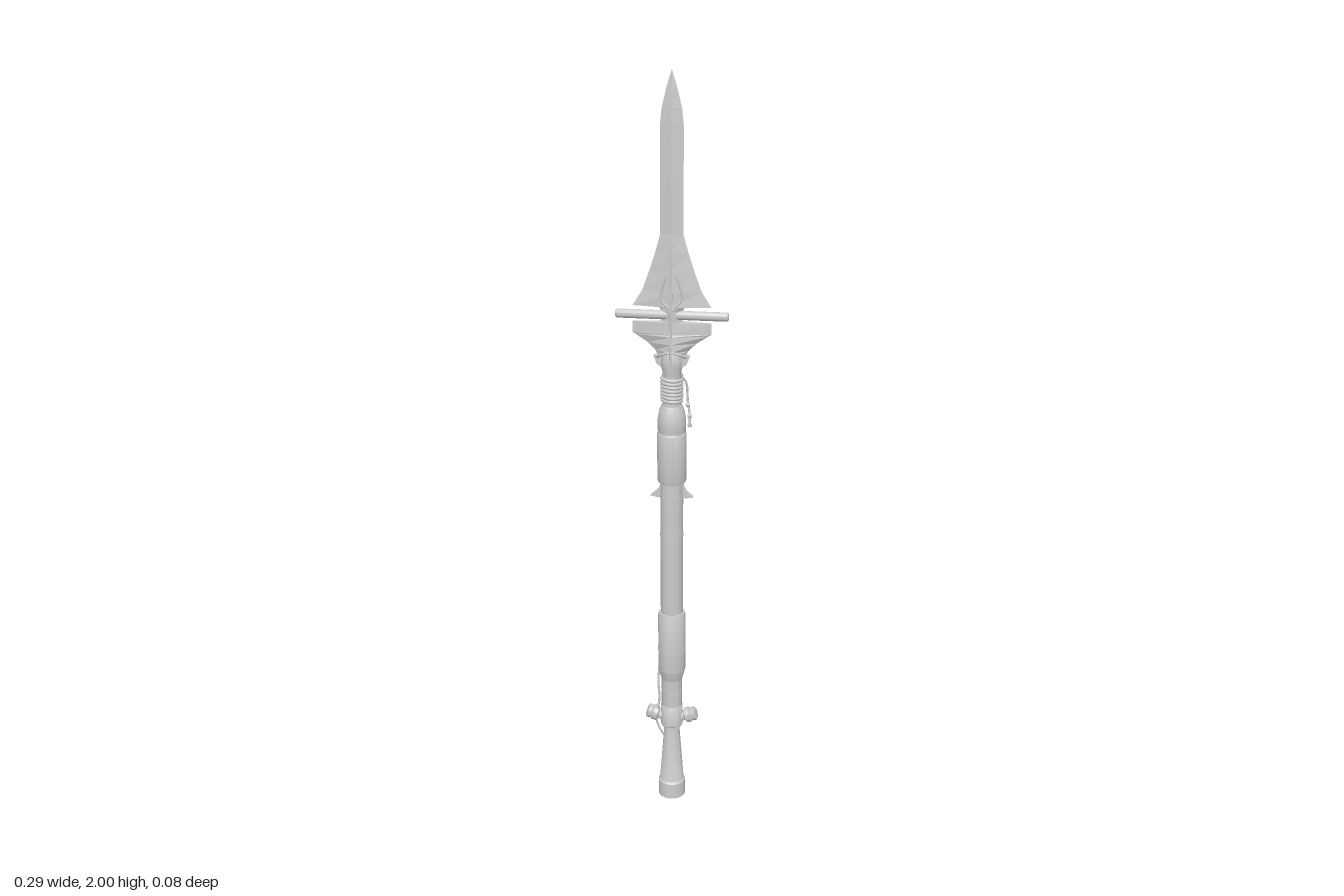
import * as THREE from 'three';
import { toCreasedNormals } from 'three/addons/utils/BufferGeometryUtils.js';

const grey = new THREE.MeshStandardMaterial({ color: 0xcccccc, side: THREE.DoubleSide });
const flat = new THREE.MeshStandardMaterial({ color: 0xcccccc, side: THREE.DoubleSide, flatShading: true });
const V = (p) => new THREE.Vector3(...p);

function add(parent, name, geometry, material = grey) {
  const mesh = new THREE.Mesh(geometry, material);
  mesh.name = name;
  parent.add(mesh);
  return mesh;
}

// Turned part from [radius, y] pairs, with sharp steps kept crisp
function turned(points, sides = 32) {
  const profile = points.map(([r, y]) => new THREE.Vector2(r, y));
  return toCreasedNormals(new THREE.LatheGeometry(profile, sides), 0.6);
}

function tube(points, radius, steps = 32) {
  return new THREE.TubeGeometry(new THREE.CatmullRomCurve3(points.map(V)), steps, radius, 8);
}

// Diamond cross-sections [y, half width, half thickness] from bottom to top
function diamondLoft(rows) {
  const pos = [], index = [];
  for (const [y, w, t] of rows) pos.push(w, y, 0, 0, y, t, -w, y, 0, 0, y, -t);
  for (let i = 0; i < rows.length - 1; i++) {
    for (let j = 0; j < 4; j++) {
      const a = i * 4 + j, b = i * 4 + (j + 1) % 4;
      index.push(a, a + 4, b, b, a + 4, b + 4);
    }
  }
  index.push(0, 1, 2, 0, 2, 3);
  const g = new THREE.BufferGeometry();
  g.setAttribute('position', new THREE.Float32BufferAttribute(pos, 3));
  g.setIndex(index);
  g.computeVertexNormals();
  return g;
}

export function createModel() {
  const model = new THREE.Group();
  model.name = 'spear';

  // Flared butt, grip shaft and sleeves
  add(model, 'buttCap', turned([[0, 0], [0.037, 0], [0.037, 0.045], [0.033, 0.05], [0.022, 0.2], [0.02, 0.225], [0, 0.225]]));
  add(model, 'shaft', turned([[0, 0.22], [0.028, 0.22], [0.028, 0.36], [0.03, 0.38], [0.03, 0.96], [0, 0.96]]));
  add(model, 'lowerSleeve', turned([[0.028, 0.365], [0.031, 0.375], [0.036, 0.395], [0.037, 0.4], [0.037, 0.56], [0.034, 0.57], [0.029, 0.57]]));
  add(model, 'upperSleeve', turned([[0.029, 0.95], [0.036, 0.95], [0.038, 0.956], [0.038, 1.083], [0.036, 1.086],
    [0.036, 1.092], [0.037, 1.096], [0.037, 1.12], [0.033, 1.145], [0.027, 1.16], [0, 1.16]]));
  add(model, 'neck', turned([[0.026, 1.15], [0.024, 1.17], [0.024, 1.25], [0.028, 1.265], [0.028, 1.285], [0.02, 1.31], [0, 1.32]]));

  // Thin bands on the shaft
  for (const [y, r] of [[0.33, 0.0285], [0.46, 0.0375], [0.8, 0.031], [0.91, 0.031]]) {
    add(model, 'shaftBand', turned([[r - 0.003, y - 0.005], [r, y - 0.005], [r, y + 0.005], [r - 0.003, y + 0.005]]));
  }

  // Cord wound around the neck
  const coil = [];
  for (let i = 0; i <= 96; i++) {
    const a = i / 96 * Math.PI * 14;
    coil.push([0.025 * Math.cos(a), 1.172 + 0.066 * i / 96, 0.025 * Math.sin(a)]);
  }
  add(model, 'neckCord', tube(coil, 0.005, 200));

  // Loose cords
  add(model, 'upperCord', tube([[0.024, 1.24, 0], [0.036, 1.22, -0.005], [0.04, 1.17, -0.01], [0.046, 1.13, -0.004], [0.046, 1.1, 0]], 0.003));
  for (const y of [1.16, 1.13, 1.105]) {
    add(model, 'cordBead', new THREE.SphereGeometry(0.006, 10, 8)).position.set(y > 1.15 ? 0.041 : 0.046, y, -0.004);
  }
  add(model, 'lowerCord', tube([[-0.034, 0.4, 0], [-0.037, 0.36, 0.003], [-0.034, 0.3, 0.006], [-0.042, 0.24, 0.008],
    [-0.03, 0.2, 0.004], [-0.018, 0.18, 0]], 0.003));

  // Lens-shaped spearhead with its wings, waist and lower guard
  add(model, 'blade', diamondLoft([[1.42, 0.022, 0.016], [1.445, 0.03, 0.015], [1.6, 0.029, 0.01], [1.87, 0.029, 0.008],
    [1.91, 0.025, 0.007], [1.96, 0.013, 0.004], [2, 0.0005, 0.0005]]), flat);
  add(model, 'upperWings', diamondLoft([[1.42, 0.1, 0.014], [1.46, 0.075, 0.0145], [1.51, 0.057, 0.013], [1.56, 0.041, 0.012],
    [1.605, 0.029, 0.01]]), flat);
  add(model, 'waist', diamondLoft([[1.36, 0.04, 0.02], [1.385, 0.028, 0.018], [1.41, 0.028, 0.017], [1.43, 0.04, 0.015]]), flat);
  add(model, 'lowerWings', diamondLoft([[1.25, 0.024, 0.024], [1.285, 0.032, 0.024], [1.305, 0.042, 0.024], [1.325, 0.062, 0.022],
    [1.345, 0.092, 0.02], [1.35, 0.1, 0.018], [1.38, 0.1, 0.016]]), flat);
  const lid = new THREE.Shape([[0.1, 0], [0, 0.016], [-0.1, 0], [0, -0.016]].map(([x, z]) => new THREE.Vector2(x, z)));
  const top = add(model, 'lowerWingTop', new THREE.ShapeGeometry(lid), flat);
  top.rotation.x = -Math.PI / 2;
  top.position.y = 1.38;

  // Crossbar with rounded ends
  const bar = add(model, 'crossbar', turned([[0, -0.143], [0.009, -0.143], [0.0115, -0.139], [0.0115, 0.139], [0.009, 0.143], [0, 0.143]], 20));
  bar.rotation.z = Math.PI / 2;
  bar.position.y = 1.398;

  // Ribs over both faces of the head and hooks beside them
  for (const s of [1, -1]) {
    add(model, 'centreRib', tube([[0, 1.27, s * 0.026], [0, 1.31, s * 0.027], [0, 1.39, s * 0.018], [0, 1.47, s * 0.013], [0, 1.58, s * 0.009]], 0.003));
    for (const m of [1, -1]) {
      add(model, 'bladeHook', tube([[m * 0.008, 1.42, s * 0.015], [m * 0.025, 1.44, s * 0.011], [m * 0.024, 1.465, s * 0.0105],
        [m * 0.014, 1.5, s * 0.01]], 0.003));
    }
    add(model, 'collarArc', tube([[-0.04, 1.285, 0], [-0.025, 1.298, s * 0.02], [0, 1.306, s * 0.026], [0.025, 1.298, s * 0.02], [0.04, 1.285, 0]], 0.003));
  }

  for (const m of [1, -1]) {
    // Small swept spurs: below the head and under the upper sleeve
    const spurs = [['collarSpur', [0.02, 1.3], [0.047, 1.292], [0.038, 1.27], [0.022, 1.258]],
      ['shaftSpur', [0.026, 0.95], [0.036, 0.925], [0.056, 0.907], [0.026, 0.902]]];
    for (const [name, ...pts] of spurs) {
      const shape = new THREE.Shape(pts.map(([x, y]) => new THREE.Vector2(m * x, y)));
      add(model, name, new THREE.ExtrudeGeometry(shape, { depth: 0.012, bevelEnabled: false }), flat).position.z = -0.006;
    }

    // Side knobs near the butt
    const knob = new THREE.Group();
    knob.name = 'sideKnob';
    add(knob, 'knobBody', turned([[0.014, 0], [0.014, 0.038], [0.021, 0.042], [0.021, 0.054], [0.017, 0.057],
      [0.019, 0.061], [0.019, 0.068], [0.012, 0.072], [0, 0.072]], 20));
    knob.position.set(0, 0.24, 0);
    knob.rotation.z = -m * 1.28;
    model.add(knob);
  }
  add(model, 'knobCollar', turned([[0.027, 0.222], [0.03, 0.225], [0.03, 0.282], [0.027, 0.288]]));

  return model;
}
